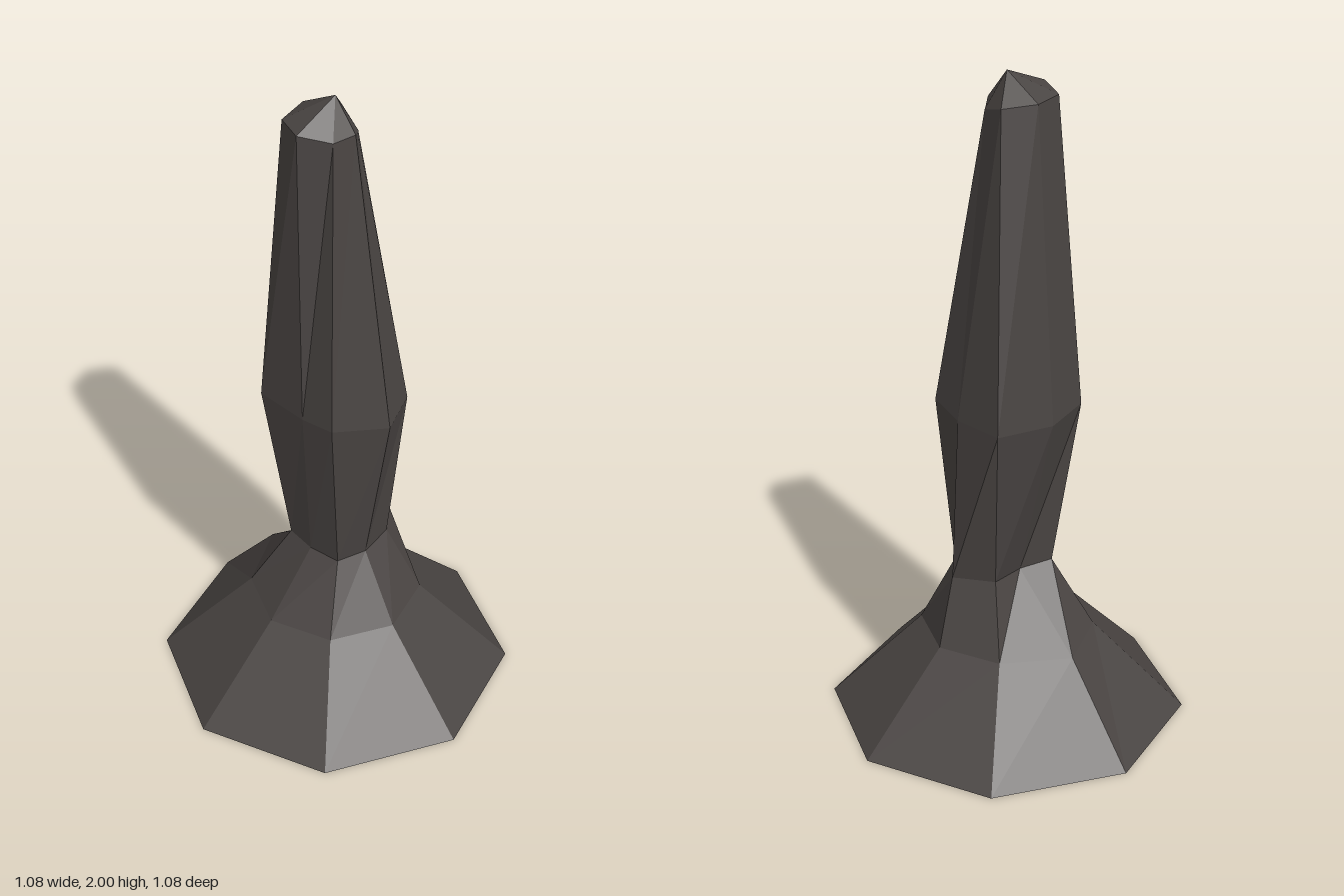
import * as THREE from 'three';

// Joins two eight-point rings with flat facets
function band(a, b) {
  const out = [];
  for (let i = 0; i < a.length; i++) {
    const j = (i + 1) % a.length;
    out.push(...a[i], ...b[i], ...a[j], ...a[j], ...b[i], ...b[j]);
  }
  return out;
}

function facets(name, positions, material) {
  const geometry = new THREE.BufferGeometry();
  geometry.setAttribute('position', new THREE.Float32BufferAttribute(positions, 3));
  geometry.computeVertexNormals();
  const mesh = new THREE.Mesh(geometry, material);
  mesh.name = name;
  return mesh;
}

// Regular octagon, starting at +x and turning towards +z
function octagon(radius, y) {
  return Array.from({ length: 8 }, (_, i) => {
    const t = (i * Math.PI) / 4;
    return [radius * Math.cos(t), y, radius * Math.sin(t)];
  });
}

export function createModel() {
  const group = new THREE.Group();
  group.name = 'rockSpire';
  const stone = new THREE.MeshStandardMaterial({ color: 0x4a4543, flatShading: true, side: THREE.DoubleSide });
  stone.name = 'dark stone';

  // Cross-sections from the ground up
  const foot = octagon(0.54, 0);
  const slope = octagon(0.262, 0.28);
  slope[6] = [0, 0.28, -0.3];
  const neck = [
    [0.21, 0.5, 0], [0.12, 0.49, 0.1], [0.01, 0.485, 0.125], [-0.08, 0.48, 0.1],
    [-0.1, 0.48, 0], [-0.1, 0.49, -0.09], [0, 0.48, -0.06], [0.12, 0.49, -0.09],
  ];
  const waist = [
    [0.18, 1, 0.005], [0.15, 1.01, 0.145], [0.012, 1.01, 0.22], [-0.125, 1.01, 0.125],
    [-0.14, 1, 0.015], [-0.155, 1.01, -0.15], [-0.005, 1, -0.198], [0.18, 1.01, -0.173],
  ];
  const crown = [
    [0.05, 1.89, 0.035], [0.035, 1.89, 0.05], [0.005, 1.91, 0.075], [-0.07, 1.91, 0.07],
    [-0.15, 1.94, 0.015], [-0.11, 1.93, -0.09], [-0.005, 1.93, -0.125], [0.08, 1.92, -0.07],
  ];
  const tip = Array.from({ length: 8 }, () => [0, 2, 0]);

  group.add(
    facets('baseSkirt', [...band(foot, slope), ...band(slope, neck)], stone),
    facets('lowerColumn', band(neck, waist), stone),
    facets('upperColumn', band(waist, crown), stone),
  );

  // Pointed cap: one triangle per side
  const cap = [];
  crown.forEach((p, i) => cap.push(...p, ...tip[i], ...crown[(i + 1) % 8]));
  group.add(facets('pointedCap', cap, stone));
  return group;
}
